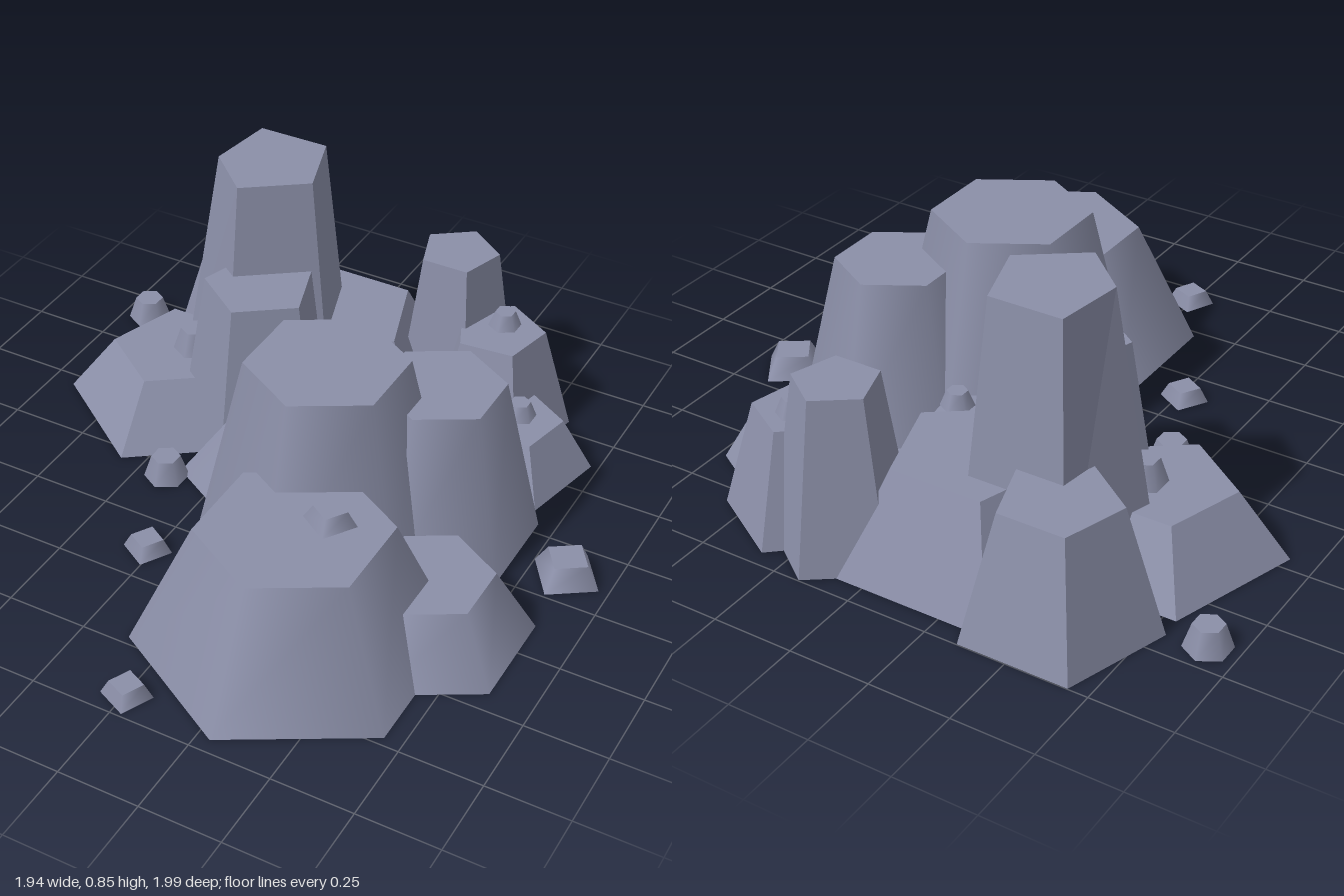
import * as THREE from 'three';

const stone = new THREE.MeshStandardMaterial({ color: 0x8b8fa8 });
stone.name = 'slateStone';

// Tapered prism standing on height y; a corner faces +z, then turned by spin
function taper(group, name, sides, [x, z, rBase, rTop, h, spin = 0, y = 0], flat, tweak) {
  let geo = new THREE.CylinderGeometry(rTop, rBase, h, sides, 1, false, spin);
  if (tweak) tweak(geo.attributes.position);
  if (flat) {
    geo = geo.toNonIndexed();
    geo.computeVertexNormals();
  }
  const mesh = new THREE.Mesh(geo, stone);
  mesh.name = name;
  mesh.position.set(x, y + h / 2, z);
  group.add(mesh);
}

export function createModel() {
  const model = new THREE.Group();
  model.name = 'rockFormation';

  // Smooth six-sided boulders: x, z, base radius, top radius, height
  const boulders = [
    [0.29, 0.49, 0.467, 0.28, 0.395],
    [0.17, 0.085, 0.39, 0.238, 0.655],
    [0.425, -0.135, 0.312, 0.19, 0.525],
    [0.6, 0.28, 0.312, 0.19, 0.2],
    [-0.04, -0.185, 0.39, 0.235, 0.2],
  ];
  boulders.forEach((b, i) => taper(model, `boulder${i + 1}`, 6, b, false));

  // Faceted five-sided crags: x, z, base radius, top radius, height, spin
  const back = Math.PI + 0.087;
  const crags = [
    [-0.262, -0.29, 0.26, 0.172, 0.555],
    [-0.574, -0.317, 0.365, 0.215, 0.2],
    [-0.52, -0.765, 0.288, 0.175, 0.385],
    [-0.155, -0.603, 0.413, 0.247, 0.315],
    [0.167, -0.79, 0.207, 0.127, 0.53, Math.PI],
    [0.352, -0.71, 0.242, 0.145, 0.34, back],
    [0.5, -0.53, 0.245, 0.147, 0.17, back],
  ];
  crags.forEach((c, i) => taper(model, `crag${i + 1}`, 5, c, true));

  // Tallest crag, with the left corner of its top pulled inwards
  taper(model, 'tallCrag', 5, [-0.355, -0.513, 0.29, 0.192, 0.85], true, (p) => {
    for (let i = 0; i < p.count; i++) {
      if (p.getY(i) > 0 && p.getX(i) < -0.17) p.setX(i, p.getX(i) + 0.04);
    }
  });

  // Six-sided pebbles, on the ground and on ledges (last value: ledge height)
  const roundPebbles = [
    [-0.91, -0.66, 0.07, 0.045, 0.075],
    [-0.405, 0.05, 0.07, 0.045, 0.075],
    [-0.53, -0.34, 0.07, 0.045, 0.075, 0, 0.2],
    [0.355, -0.745, 0.052, 0.032, 0.05, 0, 0.34],
    [0.505, -0.55, 0.052, 0.032, 0.05, 0, 0.17],
    [0.24, -0.4, 0.052, 0.032, 0.05],
    [0.12, -0.29, 0.052, 0.032, 0.05, 0, 0.2],
  ];
  roundPebbles.forEach((p, i) => taper(model, `roundPebble${i + 1}`, 6, p, false));

  // Four-sided pebbles
  const squarePebbles = [
    [-0.27, 0.375, 0.075, 0.05, 0.045, 0.25],
    [0.005, 0.92, 0.075, 0.05, 0.045, 0.35],
    [0.86, -0.12, 0.112, 0.07, 0.07, -0.19],
    [0.362, 0.418, 0.078, 0.05, 0.045, 0.2, 0.395],
  ];
  squarePebbles.forEach((p, i) => taper(model, `squarePebble${i + 1}`, 4, p, false));

  return model;
}
